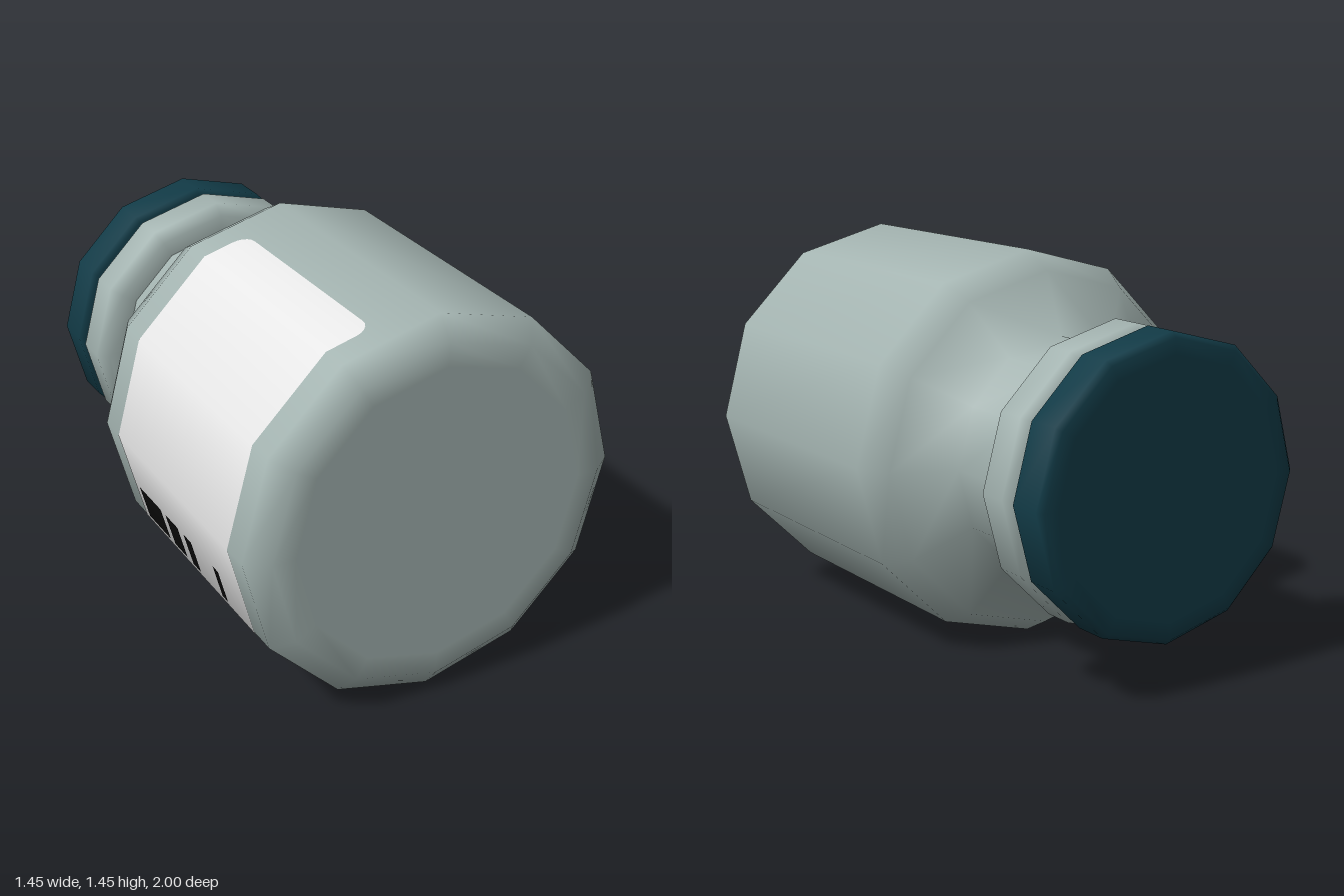
import * as THREE from 'three';

const SIDES = 12;
const RADIUS = 0.725;

const flat = (name, color, extra = {}) => {
  const m = new THREE.MeshStandardMaterial({ color, ...extra });
  m.name = name;
  return m;
};

// Turned part whose axis lies along z; profile is [radius, z] from back to front
function turned(name, profile, material) {
  const geo = new THREE.LatheGeometry(profile.map(([r, z]) => new THREE.Vector2(r, z)), SIDES);
  geo.rotateX(Math.PI / 2);
  const mesh = new THREE.Mesh(geo, material);
  mesh.name = name;
  return mesh;
}

// Thin sheet that follows the faceted bottle wall, with rounded corners
function wrap(name, material, deg0, deg1, z0, z1, lift, corner) {
  const stops = new Set([deg0, deg1]);
  const cornerDeg = THREE.MathUtils.radToDeg(corner / RADIUS);
  for (let i = 1; i <= 5 && corner > 0; i++) {
    const d = cornerDeg * (1 - Math.cos((i / 5) * Math.PI / 2));
    stops.add(deg0 + d).add(deg1 - d);
  }
  for (let d = Math.ceil(deg0 / 30) * 30; d < deg1; d += 30) stops.add(d);

  const pos = [], normal = [], index = [];
  const half = Math.PI / SIDES;
  [...stops].sort((a, b) => a - b).forEach((deg, i) => {
    const a = THREE.MathUtils.degToRad(deg);
    const r = RADIUS * Math.cos(half) / Math.cos((a % (2 * half)) - half) + lift;
    const edge = Math.min(deg - deg0, deg1 - deg);
    const t = corner > 0 ? Math.max(0, 1 - edge / cornerDeg) : 0;
    const inset = corner * (1 - Math.sqrt(1 - t * t));
    for (const z of [z0 + inset, z1 - inset]) {
      pos.push(r * Math.cos(a), r * Math.sin(a), z);
      normal.push(Math.cos(a), Math.sin(a), 0);
    }
    if (i > 0) {
      const k = 2 * i;
      index.push(k - 2, k, k - 1, k, k + 1, k - 1);
    }
  });
  const geo = new THREE.BufferGeometry();
  geo.setAttribute('position', new THREE.Float32BufferAttribute(pos, 3));
  geo.setAttribute('normal', new THREE.Float32BufferAttribute(normal, 3));
  geo.setIndex(index);
  const mesh = new THREE.Mesh(geo, material);
  mesh.name = name;
  return mesh;
}

export function createModel() {
  const glass = flat('grey green glass', 0xa4b4b1);
  const capTeal = flat('dark teal cap', 0x123b47);
  const paper = flat('label white', 0xe8e8e8, { side: THREE.DoubleSide });
  const ink = flat('ink black', 0x0c0c0c, { side: THREE.DoubleSide });

  const bottle = new THREE.Group();
  bottle.name = 'bottle';
  bottle.position.y = RADIUS;

  // Body with shoulder and neck
  bottle.add(turned('body', [
    [0.435, -0.66], [0.435, -0.35], [0.66, -0.26], [RADIUS, -0.14],
    [RADIUS, 0.94], [0.645, 1], [0.56, 1], [0, 1],
  ], glass));

  // Lip around the mouth
  bottle.add(turned('lip', [
    [0, -0.82], [0.46, -0.82], [0.505, -0.82], [0.54, -0.785],
    [0.54, -0.67], [0.5, -0.63], [0.42, -0.63],
  ], glass));

  // Cap
  bottle.add(turned('cap', [
    [0, -1], [0.46, -1], [0.52, -1], [0.54, -0.98],
    [0.54, -0.85], [0.52, -0.833], [0.46, -0.833], [0, -0.833],
  ], capTeal));

  // Label wrapped round the side, with plain printed bars
  bottle.add(wrap('label', paper, 106, 254, -0.03, 0.84, 0.002, 0.06));
  const bars = [[0.02, 0.2], [0.24, 0.34], [0.39, 0.45], [0.62, 0.66]];
  for (const [z0, z1] of bars) {
    bottle.add(wrap('printedBar', ink, 197, 208, z0, z1, 0.005, 0));
  }

  const model = new THREE.Group();
  model.name = 'model';
  model.add(bottle);
  return model;
}
